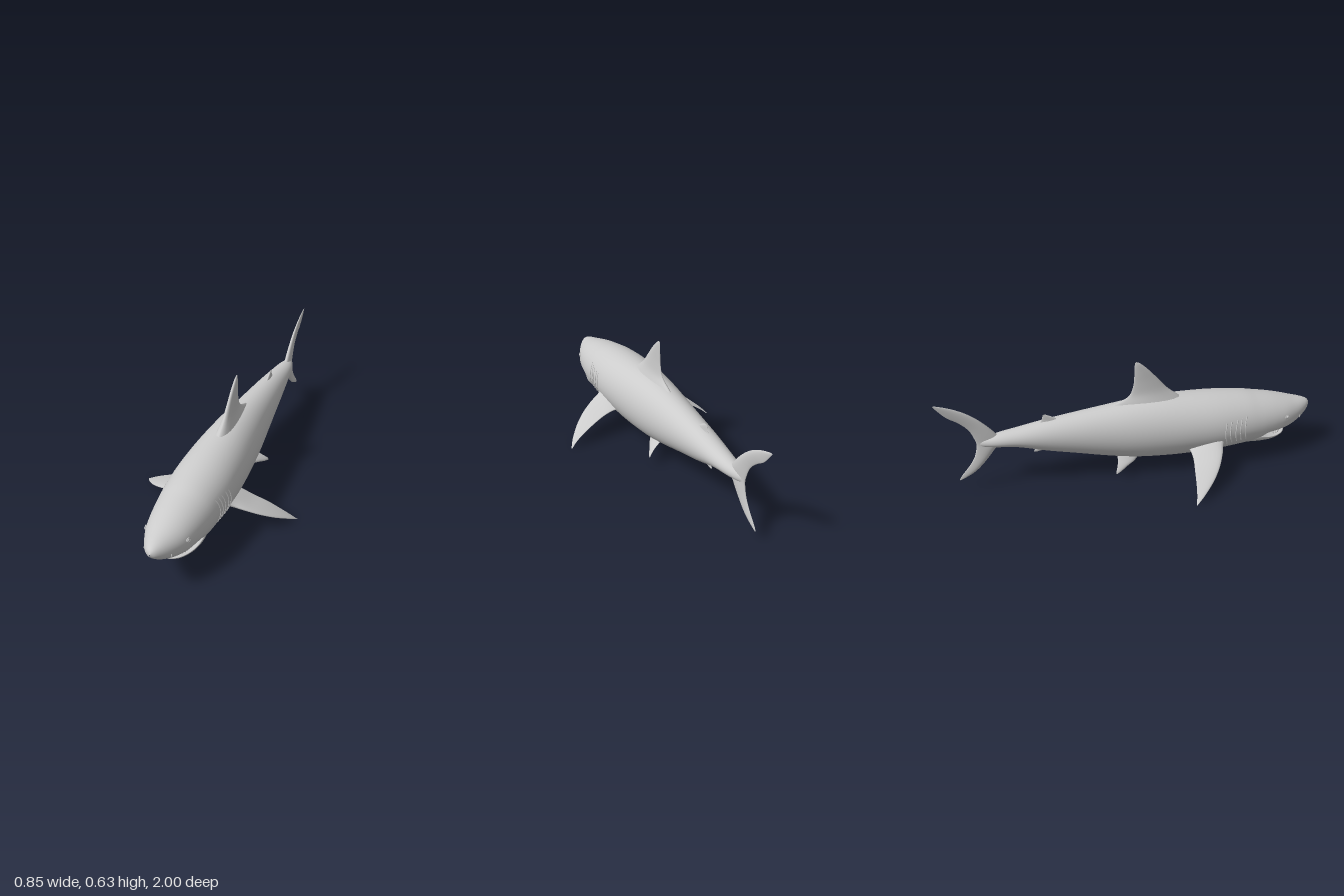
import * as THREE from 'three';

const grey = new THREE.MeshStandardMaterial({ color: 0xcccccc });
const thin = new THREE.MeshStandardMaterial({ color: 0xcccccc, side: THREE.DoubleSide });

// Smooth sampler through rows of numbers; u runs 0..1 along the rows
function sampler(rows) {
  const spline = new THREE.CubicInterpolant(rows.map((_, i) => i), rows.flat(), rows[0].length);
  return u => Array.from(spline.evaluate(u * (rows.length - 1)));
}

// Skin a closed tube over rings of points
function skin(rings) {
  const n = rings[0].length, index = [];
  for (let i = 0; i < rings.length - 1; i++) {
    for (let j = 0; j < n; j++) {
      const a = i * n + j, b = i * n + (j + 1) % n;
      index.push(a, a + n, b + n, a, b + n, b);
    }
  }
  const g = new THREE.BufferGeometry();
  g.setAttribute('position', new THREE.Float32BufferAttribute(rings.flat(2), 3));
  g.setIndex(index);
  g.computeVertexNormals();
  return g;
}

function add(parent, name, geometry, material = grey) {
  const m = new THREE.Mesh(geometry, material);
  m.name = name;
  parent.add(m);
  return m;
}

// Rows: z, top y, widest y, bottom y, half width, belly flatness power
const BODY = [
  [1.0, 0.262, 0.257, 0.25, 0.002, 1],
  [0.985, 0.281, 0.252, 0.228, 0.027, 1],
  [0.95, 0.295, 0.24, 0.195, 0.055, 0.9],
  [0.9, 0.308, 0.23, 0.168, 0.083, 0.75],
  [0.84, 0.325, 0.225, 0.153, 0.109, 0.65],
  [0.78, 0.341, 0.222, 0.147, 0.125, 0.65],
  [0.73, 0.352, 0.222, 0.135, 0.135, 0.75],
  [0.68, 0.362, 0.222, 0.098, 0.143, 0.9],
  [0.6, 0.378, 0.225, 0.083, 0.152, 1],
  [0.45, 0.396, 0.23, 0.071, 0.161, 1],
  [0.3, 0.406, 0.235, 0.065, 0.157, 1],
  [0.15, 0.411, 0.238, 0.068, 0.146, 1],
  [0.0, 0.405, 0.242, 0.082, 0.131, 1],
  [-0.15, 0.391, 0.25, 0.112, 0.112, 1],
  [-0.3, 0.375, 0.262, 0.15, 0.094, 1],
  [-0.45, 0.357, 0.273, 0.187, 0.076, 1],
  [-0.6, 0.333, 0.28, 0.233, 0.057, 1],
  [-0.7, 0.318, 0.28, 0.246, 0.042, 1],
  [-0.76, 0.302, 0.275, 0.252, 0.022, 1],
  [-0.8, 0.284, 0.272, 0.26, 0.002, 1]];

const JAW = [
  [0.86, 0.124, 0.121, 0.118, 0.003, 1],
  [0.852, 0.129, 0.123, 0.112, 0.035, 1],
  [0.83, 0.129, 0.125, 0.106, 0.065, 0.9],
  [0.79, 0.129, 0.126, 0.1, 0.09, 0.9],
  [0.74, 0.14, 0.135, 0.094, 0.11, 0.9],
  [0.68, 0.165, 0.15, 0.09, 0.119, 0.9],
  [0.6, 0.17, 0.15, 0.088, 0.11, 1]];

function loft(rows, steps, sides) {
  const at = sampler(rows), rings = [];
  for (let i = 0; i <= steps; i++) {
    const [z, top, mid, bot, w, p] = at(i / steps);
    rings.push(Array.from({ length: sides }, (_, j) => {
      const a = j / sides * Math.PI * 2, s = Math.sin(a);
      return [w * Math.cos(a), s > 0 ? mid + (top - mid) * s : mid - (mid - bot) * Math.pow(-s, p), z];
    }));
  }
  return skin(rings);
}

// Half width of the body at a given y and z
function surfaceX(y, z) {
  const at = sampler(BODY);
  let lo = 0, hi = 1;
  for (let k = 0; k < 30; k++) {
    const m = (lo + hi) / 2;
    if (at(m)[0] > z) lo = m; else hi = m;
  }
  const [, top, mid, bot, w, p] = at(lo);
  const s = y > mid ? (y - mid) / (top - mid) : Math.pow((mid - y) / (mid - bot), 1 / p);
  return w * Math.sqrt(Math.max(0, 1 - s * s));
}

// Fin rows: leading point xyz, trailing point xyz, half thickness
function fin(rows, normal, side = 1) {
  const at = sampler(rows), rings = [], steps = 28, n = 20;
  for (let i = 0; i <= steps; i++) {
    const r = at(i / steps);
    rings.push(Array.from({ length: n }, (_, j) => {
      const a = j / n * Math.PI * 2, f = (1 - Math.cos(a)) / 2;
      const off = Math.sin(a) * r[6] * (1.25 - 0.75 * f);
      const [x, y, z] = [0, 1, 2].map(k => r[k] + (r[k + 3] - r[k]) * f + normal[k] * off);
      return [x * side, y, z];
    }));
  }
  return skin(rings);
}

// Fin on the centre plane from rows: lead z, lead y, trail z, trail y, half thickness
const flatFin = rows => fin(rows.map(([lz, ly, tz, ty, t]) => [0, ly, lz, 0, ty, tz, t]), [1, 0, 0]);

const DORSAL = [
  [0.29, 0.38, -0.14, 0.375, 0.05],
  [0.25, 0.415, -0.09, 0.4, 0.036],
  [0.19, 0.465, -0.015, 0.44, 0.022],
  [0.14, 0.525, 0.01, 0.5, 0.015],
  [0.09, 0.583, 0.015, 0.56, 0.011],
  [0.05, 0.622, 0.016, 0.605, 0.007],
  [0.027, 0.635, 0.019, 0.63, 0.002]];

const TAIL = [
  [-0.908, 0.063, -0.913, 0.067, 0.001],
  [-0.875, 0.078, -0.9, 0.09, 0.004],
  [-0.82, 0.112, -0.855, 0.145, 0.008],
  [-0.765, 0.17, -0.825, 0.195, 0.012],
  [-0.715, 0.235, -0.812, 0.24, 0.016],
  [-0.68, 0.28, -0.808, 0.272, 0.017],
  [-0.71, 0.328, -0.817, 0.308, 0.016],
  [-0.77, 0.398, -0.84, 0.362, 0.012],
  [-0.84, 0.458, -0.885, 0.41, 0.009],
  [-0.91, 0.497, -0.938, 0.448, 0.006],
  [-0.965, 0.518, -0.975, 0.49, 0.004],
  [-0.993, 0.526, -0.999, 0.523, 0.001]];

const REAR_DORSAL = [
  [-0.37, 0.345, -0.51, 0.33, 0.012],
  [-0.4, 0.368, -0.477, 0.357, 0.008],
  [-0.43, 0.385, -0.468, 0.377, 0.005],
  [-0.452, 0.396, -0.464, 0.393, 0.002]];

const ANAL = [
  [-0.41, 0.205, -0.49, 0.225, 0.012],
  [-0.445, 0.192, -0.505, 0.205, 0.008],
  [-0.48, 0.182, -0.517, 0.19, 0.005],
  [-0.508, 0.176, -0.521, 0.18, 0.002]];

const PECTORAL = [
  [0.115, 0.195, 0.49, 0.115, 0.15, 0.28, 0.026],
  [0.16, 0.17, 0.46, 0.16, 0.142, 0.285, 0.019],
  [0.215, 0.146, 0.438, 0.21, 0.125, 0.283, 0.012],
  [0.28, 0.112, 0.402, 0.27, 0.1, 0.272, 0.009],
  [0.34, 0.074, 0.352, 0.33, 0.068, 0.262, 0.007],
  [0.395, 0.033, 0.287, 0.385, 0.033, 0.25, 0.004],
  [0.425, 0.003, 0.238, 0.418, 0.005, 0.238, 0.001]];

const PELVIC = [
  [0.045, 0.1, 0.03, 0.05, 0.12, -0.09, 0.014],
  [0.07, 0.083, 0.0, 0.075, 0.1, -0.092, 0.008],
  [0.095, 0.07, -0.045, 0.1, 0.082, -0.1, 0.006],
  [0.118, 0.057, -0.085, 0.12, 0.065, -0.11, 0.004],
  [0.128, 0.052, -0.107, 0.128, 0.054, -0.113, 0.001]];

export function createModel() {
  const shark = new THREE.Group();
  shark.name = 'shark';
  add(shark, 'body', loft(BODY, 90, 40));
  add(shark, 'lowerJaw', loft(JAW, 30, 32));
  add(shark, 'dorsalFin', flatFin(DORSAL), thin);
  add(shark, 'tailFin', flatFin(TAIL), thin);
  add(shark, 'rearDorsalFin', flatFin(REAR_DORSAL), thin);
  add(shark, 'analFin', flatFin(ANAL), thin);

  for (const [name, s] of [['left', 1], ['right', -1]]) {
    add(shark, name + 'PectoralFin', fin(PECTORAL, [0.5, 0.85, 0], s), thin);
    add(shark, name + 'PelvicFin', fin(PELVIC, [0.45, 0.88, 0], s), thin);

    // Eye with a raised rim, and nostril
    const eye = add(shark, name + 'Eye', new THREE.SphereGeometry(0.011, 16, 12));
    eye.position.set(s * (surfaceX(0.247, 0.835) - 0.004), 0.247, 0.835);
    const rim = add(shark, name + 'EyeRim', new THREE.TorusGeometry(0.012, 0.0025, 6, 20));
    rim.position.set(s * surfaceX(0.247, 0.835), 0.247, 0.835);
    rim.rotation.y = s * 1.2;
    const nostril = add(shark, name + 'Nostril', new THREE.SphereGeometry(0.008, 12, 8));
    nostril.scale.set(0.5, 1.2, 0.6);
    nostril.position.set(s * surfaceX(0.217, 0.925), 0.217, 0.925);

    // Five gill slits following the flank
    for (let i = 0; i < 5; i++) {
      const pts = [0, 0.25, 0.5, 0.75, 1].map(t => {
        const y = 0.175 + 0.13 * t - 0.004 * i;
        const z = 0.592 - 0.026 * i - 0.012 * Math.sin(Math.PI * t) - 0.01 * t * (i > 2 ? 1 : 0);
        return new THREE.Vector3(s * surfaceX(y, z), y, z);
      });
      add(shark, name + 'Gill' + (i + 1),
        new THREE.TubeGeometry(new THREE.CatmullRomCurve3(pts), 16, 0.0032, 6));
    }
  }

  // Rows of teeth around the mouth
  const teeth = new THREE.Group();
  teeth.name = 'teeth';
  shark.add(teeth);
  const tooth = new THREE.ConeGeometry(0.005, 0.02, 6);
  for (let i = 0; i < 15; i++) {
    for (const upper of [true, false]) {
      const a = (i - 7 + (upper ? 0 : 0.5)) / 7 * 1.35;
      if (Math.abs(a) > 1.4) continue;
      const m = add(teeth, upper ? 'upperTooth' : 'lowerTooth', tooth);
      m.position.set(0.078 * Math.sin(a), upper ? 0.146 : 0.133, 0.755 + (upper ? 0.085 : 0.082) * Math.cos(a));
      m.rotation.x = upper ? Math.PI : 0;
    }
  }
  return shark;
}
